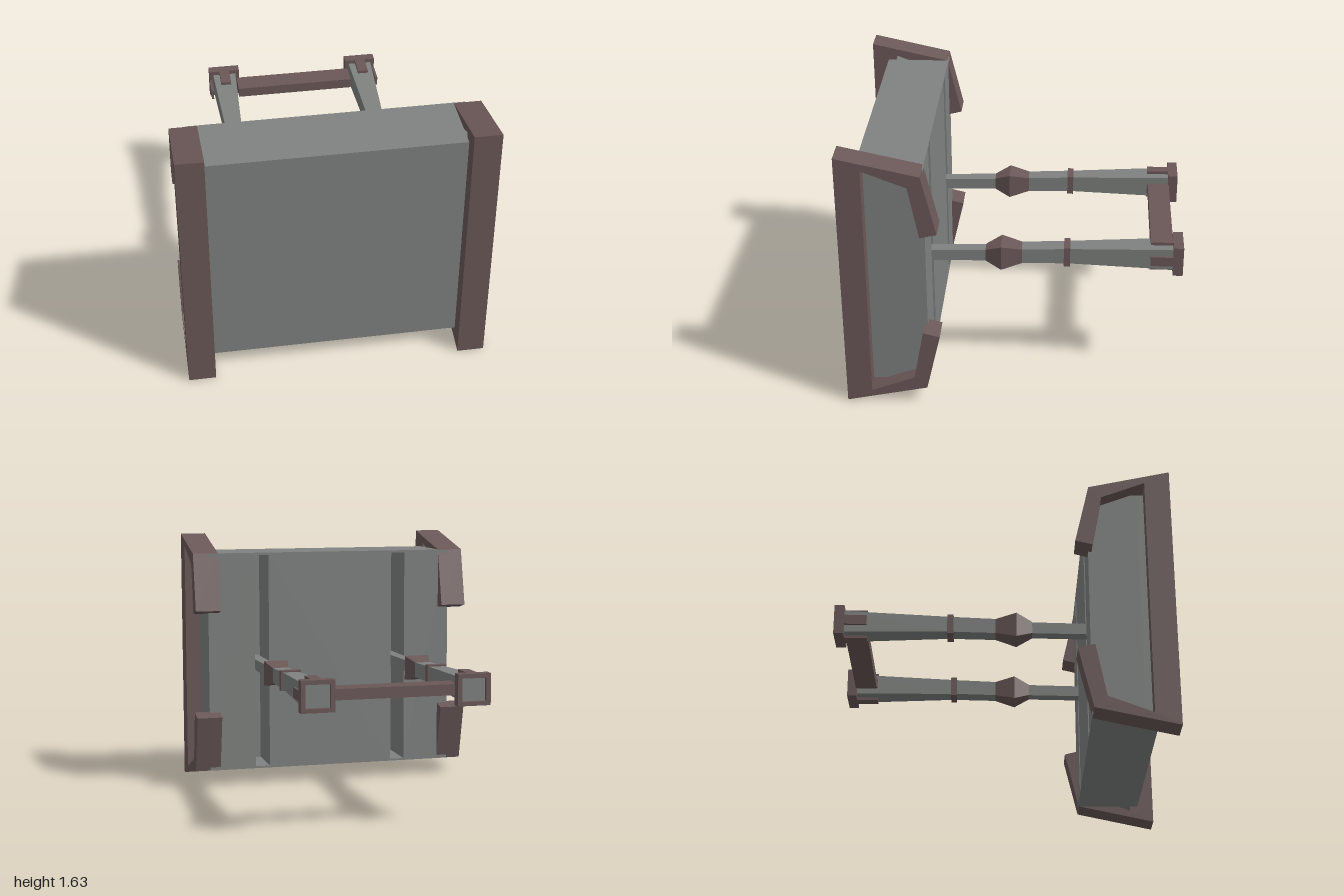
import * as THREE from 'three';

const grey = new THREE.MeshStandardMaterial({ color: 0x7f8280, flatShading: true });
const brown = new THREE.MeshStandardMaterial({ color: 0x6b5858, flatShading: true });

function add(parent, name, geometry, material, x = 0, y = 0, z = 0) {
  const mesh = new THREE.Mesh(geometry, material);
  mesh.name = name;
  mesh.position.set(x, y, z);
  parent.add(mesh);
  return mesh;
}

// Box given by its limits on each axis
function box(parent, name, material, [x0, x1], [y0, y1], [z0, z1]) {
  const g = new THREE.BoxGeometry(x1 - x0, y1 - y0, z1 - z0);
  return add(parent, name, g, material, (x0 + x1) / 2, (y0 + y1) / 2, (z0 + z1) / 2);
}

function polygon(points, Type = THREE.Shape) {
  return new Type(points.map(([x, y]) => new THREE.Vector2(x, y)));
}

function rect(x0, x1, y0, y1, Type) {
  return polygon([[x0, y0], [x1, y0], [x1, y1], [x0, y1]], Type);
}

function extrude(shape, depth) {
  return new THREE.ExtrudeGeometry(shape, { depth, bevelEnabled: false });
}

// Rectangular loft along -z; each section is [z, half width, bottom, top]
function loft(sections) {
  const pos = [], index = [];
  for (const [z, w, y0, y1] of sections) {
    pos.push(-w, y0, z, w, y0, z, w, y1, z, -w, y1, z);
  }
  for (let i = 0; i < sections.length - 1; i++) {
    for (let j = 0; j < 4; j++) {
      const a = i * 4 + j, b = i * 4 + (j + 1) % 4;
      index.push(a, a + 4, b, b, a + 4, b + 4);
    }
  }
  const e = (sections.length - 1) * 4;
  index.push(0, 1, 2, 0, 2, 3, e, e + 2, e + 1, e, e + 3, e + 2);
  const g = new THREE.BufferGeometry();
  g.setAttribute('position', new THREE.Float32BufferAttribute(pos, 3));
  g.setIndex(index);
  const flat = g.toNonIndexed();
  flat.computeVertexNormals();
  return flat;
}

function createHandle() {
  const handle = new THREE.Group();
  handle.name = 'handle';
  add(handle, 'rod', loft([[0.81, 0.036, 0.755, 0.822], [0.51, 0.036, 0.755, 0.825],
    [0.15, 0.036, 0.762, 0.835]]), grey);
  add(handle, 'knob', loft([[0.185, 0.038, 0.762, 0.836], [0.09, 0.078, 0.723, 0.878],
    [-0.035, 0.048, 0.756, 0.85]]), brown);
  add(handle, 'shaft', loft([[-0.03, 0.048, 0.756, 0.85], [-0.31, 0.05, 0.764, 0.863],
    [-0.975, 0.076, 0.752, 0.89]]), grey);
  box(handle, 'ring', brown, [-0.062, 0.062], [0.75, 0.874], [-0.325, -0.287]);

  // End frame with a recessed centre and one prong on each side
  const frame = rect(-0.1, 0.1, 0.727, 0.914);
  frame.holes.push(rect(-0.073, 0.073, 0.752, 0.888, THREE.Path));
  add(handle, 'endFrame', extrude(frame, 0.06), brown, 0, 0, -1);
  const prong = [-0.95, -0.805];
  box(handle, 'topProng', brown, [-0.033, 0.033], [0.895, 0.914], prong);
  box(handle, 'bottomProng', brown, [-0.033, 0.033], [0.727, 0.745], prong);
  for (const s of [-1, 1]) {
    box(handle, 'sideProng', brown, [s * 0.0925 - 0.0075, s * 0.0925 + 0.0075], [0.79, 0.85], prong);
  }
  return handle;
}

export function createModel() {
  const model = new THREE.Group();
  const handleX = 0.463;

  // Slab body: solid front, back plate with two upright slots for the rods
  const body = new THREE.Group();
  body.name = 'body';
  model.add(body);
  box(body, 'frontSlab', grey, [-0.815, 0.815], [0.105, 1.53], [0.81, 0.9]);
  const back = rect(-0.815, 0.815, 0.105, 1.53);
  for (const s of [-1, 1]) {
    back.holes.push(rect(s * handleX - 0.047, s * handleX + 0.047, 0.118, 1.515, THREE.Path));
  }
  add(body, 'slottedBack', extrude(back, 0.3), grey, 0, 0, 0.51);

  // Hooked end clamps: half profile as [z, y], mirrored about mid height
  const mid = 0.8175;
  const outer = [[1, 1.635], [0.515, 1.53], [0.43, 1.165], [0.53, 1.14], [0.59, 1.46], [0.85, 1.56]];
  const lower = outer.map(([z, y]) => [z, 2 * mid - y]).reverse();
  const profile = polygon([...outer, ...lower].map(([z, y]) => [-z, y]));
  for (const s of [-1, 1]) {
    const clamp = add(model, 'clamp', extrude(profile, 0.163), brown, s * 0.8285 - 0.0815);
    clamp.rotation.y = Math.PI / 2;
  }

  // Two handles joined by a crossbar
  for (const s of [-1, 1]) {
    const handle = createHandle();
    handle.position.x = s * handleX;
    model.add(handle);
  }
  box(model, 'crossbar', brown, [-0.38, 0.38], [0.785, 0.85], [-0.945, -0.81]);
  return model;
}
